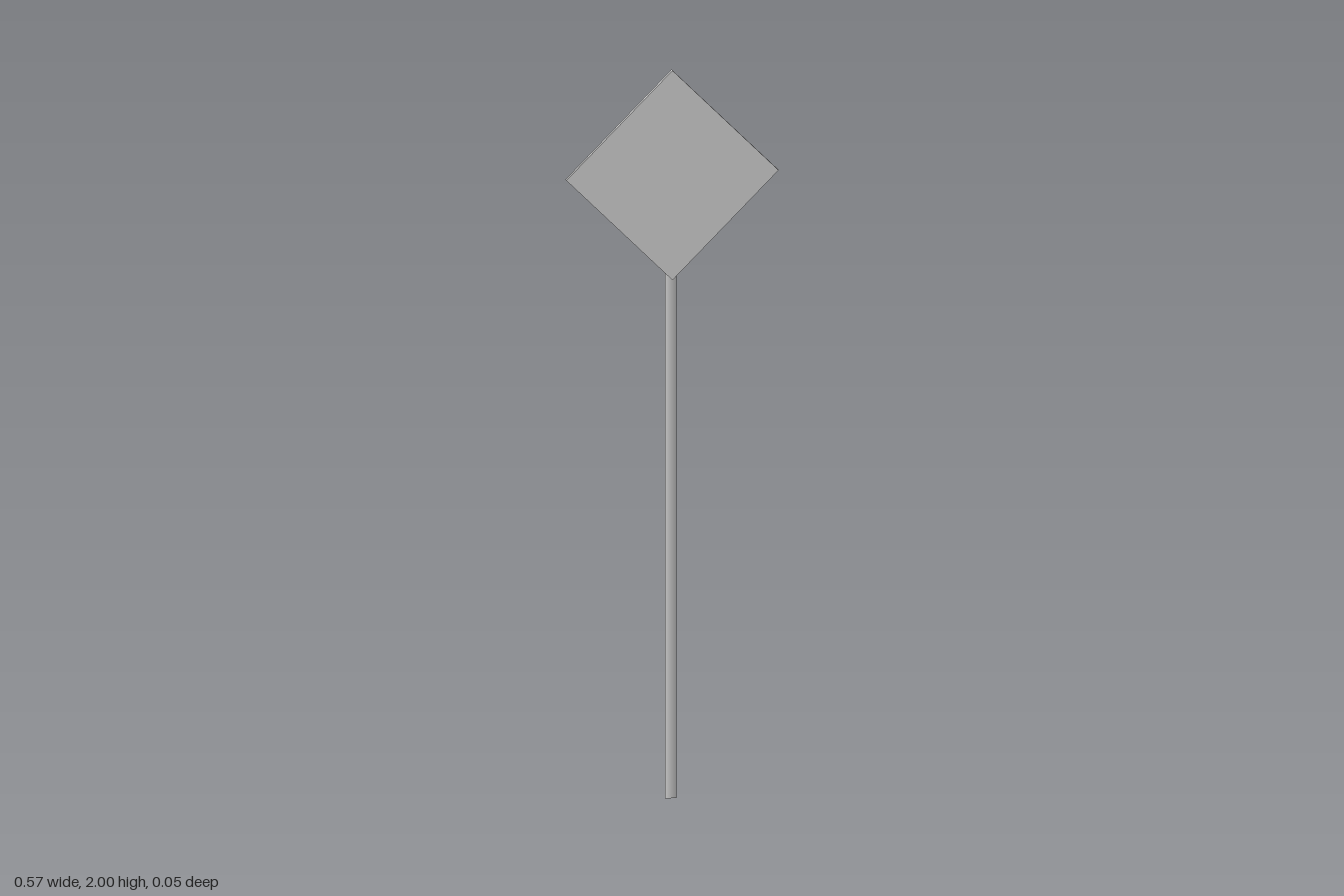
import * as THREE from 'three';

export function createModel() {
  const group = new THREE.Group();
  const material = new THREE.MeshStandardMaterial({ color: 0xcccccc });

  // Three-sided post, one edge pointing backwards, flat side to the plate
  const postHeight = 1.785;
  const postGeometry = new THREE.CylinderGeometry(0.018, 0.018, postHeight, 3, 1, false, Math.PI);
  postGeometry.scale(1, 1, 0.85);
  const post = new THREE.Mesh(postGeometry, material);
  post.name = 'post';
  post.position.set(0, postHeight / 2, -0.0097);
  group.add(post);

  // Thin diamond plate: a four-sided disc turned to face forward
  const halfDiagonal = 0.287;
  const plateGeometry = new THREE.CylinderGeometry(halfDiagonal, halfDiagonal, 0.013, 4);
  plateGeometry.rotateX(Math.PI / 2);
  const plate = new THREE.Mesh(plateGeometry, material);
  plate.name = 'signPlate';
  plate.position.set(0, 2 - halfDiagonal, 0.0175);
  group.add(plate);

  return group;
}
